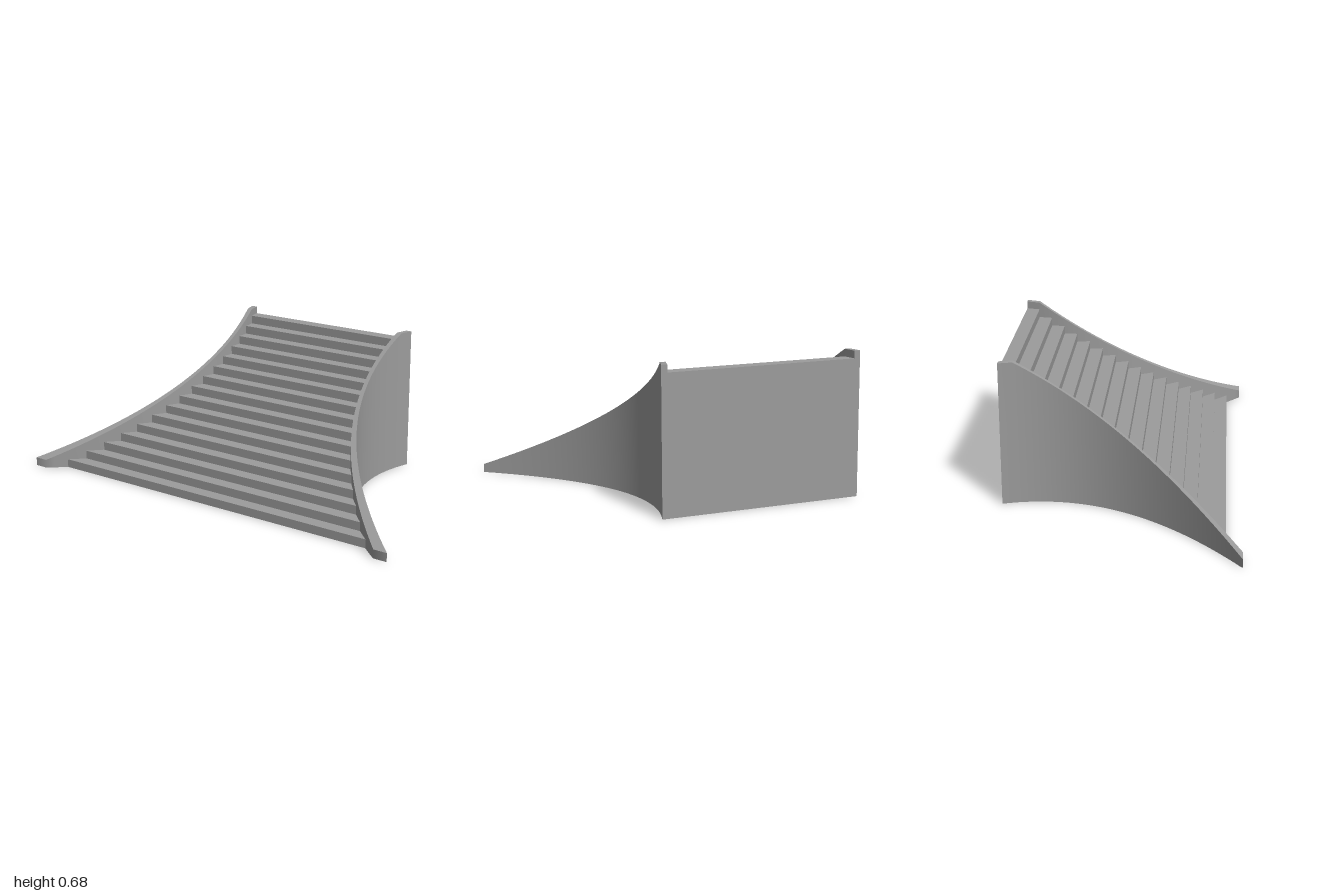
import * as THREE from 'three';
import { toCreasedNormals } from 'three/addons/utils/BufferGeometryUtils.js';

const FRONT = 0.54, BACK = -0.54;
const STEPS = 16, RISE = 0.04, STAIR_FRONT = 0.47;
const RUN = (STAIR_FRONT - BACK) / STEPS;
const LANDING = BACK + RUN, TOP = 0.675;

// Quadratic sweep of x along the depth of the stair: back, control, front
const sweep = (a, c, b) => (z) => {
  const t = (z - BACK) / (FRONT - BACK);
  return a * (1 - t) ** 2 + 2 * c * t * (1 - t) + b * t * t;
};
const outerX = sweep(0.473, 0.295, 1.0);
const innerX = sweep(0.445, 0.294, 0.935);

// Sloping top of the side walls, level at the back
const wallTop = (z) => z <= LANDING + 1e-6 ? TOP
  : RISE + (TOP - RISE) * (FRONT - z) / (FRONT - LANDING);

// Geometry from a list of four-cornered faces
function fromQuads(quads, flip) {
  const pos = [];
  for (const q of quads) {
    const [a, b, c, d] = flip ? [...q].reverse() : q;
    for (const p of [a, b, c, a, c, d]) pos.push(...p);
  }
  const g = new THREE.BufferGeometry();
  g.setAttribute('position', new THREE.Float32BufferAttribute(pos, 3));
  g.computeVertexNormals();
  return g;
}

// Hollow curved side wall, open below; its inner face stops at the treads.
// side is +1 or -1
function wallGeometry(side) {
  const section = (z, floor) => {
    const i = side * innerX(z), o = side * outerX(z), y = wallTop(z);
    return [[i, floor, z], [o, 0, z], [o, y, z], [i, y, z]];
  };
  const quads = [];
  const loft = (z0, z1, floor, parts) => {
    for (let k = 0; k < parts; k++) {
      const s = section(z0 + (z1 - z0) * k / parts, floor);
      const t = section(z0 + (z1 - z0) * (k + 1) / parts, floor);
      for (let a = 1; a < 4; a++) {
        const b = (a + 1) % 4;
        quads.push([s[a], s[b], t[b], t[a]]);
      }
    }
  };
  for (let i = STEPS - 1; i >= 0; i--) {
    const z = STAIR_FRONT - i * RUN;
    loft(z - RUN, z, (i + 1) * RISE, i === STEPS - 1 ? 1 : 3);
  }
  loft(STAIR_FRONT, FRONT, 0, 3);
  quads.push(section(BACK, 0).reverse(), section(FRONT, 0));
  return toCreasedNormals(fromQuads(quads, side < 0), 0.75);
}

export function createModel() {
  const group = new THREE.Group();
  const material = new THREE.MeshStandardMaterial({ color: 0x9c9c9c, side: THREE.DoubleSide });
  const add = (name, geometry) => {
    const mesh = new THREE.Mesh(geometry, material);
    mesh.name = name;
    group.add(mesh);
  };

  add('leftWall', wallGeometry(1));
  add('rightWall', wallGeometry(-1));

  // Folded stair shell spanning between the walls
  const strip = (y0, z0, y1, z1) => {
    const a = innerX(z0), b = innerX(z1);
    return [[-a, y0, z0], [a, y0, z0], [b, y1, z1], [-b, y1, z1]];
  };
  const risers = [], treads = [];
  for (let i = 0; i < STEPS; i++) {
    const z = STAIR_FRONT - i * RUN, y = (i + 1) * RISE;
    risers.push(strip(y - RISE, z, y, z));
    treads.push(strip(y, z, y, z - RUN));
  }
  add('risers', fromQuads(risers));
  add('treads', fromQuads(treads));

  // Flat panel closing the back
  add('backPanel', fromQuads([strip(STEPS * RISE, BACK, 0, BACK)]));
  return group;
}
